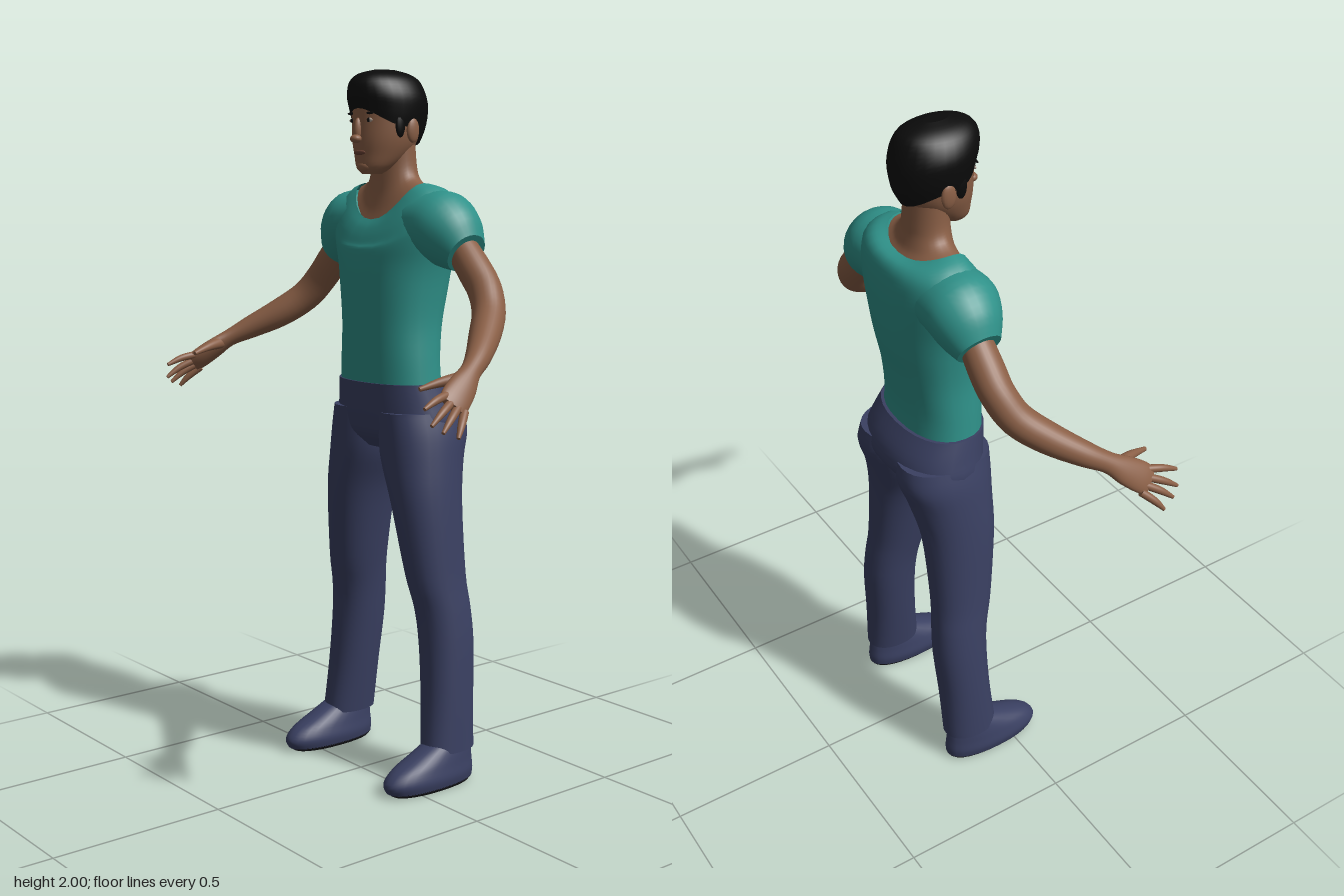
import * as THREE from 'three';

const SIDES = 28;
const mat = (name, color) => {
  const m = new THREE.MeshStandardMaterial({ color });
  m.name = name;
  return m;
};

// Catmull-Rom interpolation of every column of a table of cross-sections
function smooth(rows, steps = 4) {
  const out = [];
  const at = (i) => rows[Math.min(Math.max(i, 0), rows.length - 1)];
  for (let i = 0; i < rows.length - 1; i++) {
    for (let s = 0; s < steps; s++) {
      const t = s / steps;
      out.push(rows[i].map((p1, k) => {
        const p0 = at(i - 1)[k], p2 = at(i + 1)[k], p3 = at(i + 2)[k];
        return p1 + 0.5 * t * (p2 - p0 + t * (2 * p0 - 5 * p1 + 4 * p2 - p3 + t * (3 * (p1 - p2) + p3 - p0)));
      }));
    }
  }
  out.push(rows[rows.length - 1]);
  return out;
}

// Surface through rings of points, with optional flat caps
function loft(rings, capStart = true, capEnd = true) {
  const n = rings[0].length, pts = rings.flat(), idx = [];
  for (let i = 0; i < rings.length - 1; i++) {
    for (let j = 0; j < n; j++) {
      const a = i * n + j, b = i * n + (j + 1) % n;
      idx.push(a, a + n, b, b, a + n, b + n);
    }
  }
  const cap = (ring, flip) => {
    const base = pts.length;
    const mid = ring.reduce((s, p) => s.add(p), new THREE.Vector3()).divideScalar(n);
    pts.push(...ring, mid);
    for (let j = 0; j < n; j++) {
      const a = base + j, b = base + (j + 1) % n;
      idx.push(...(flip ? [a, b, base + n] : [b, a, base + n]));
    }
  };
  if (capStart) cap(rings[0], true);
  if (capEnd) cap(rings[rings.length - 1], false);
  const g = new THREE.BufferGeometry().setFromPoints(pts);
  g.setIndex(idx);
  g.computeVertexNormals();
  return g;
}

const ringOf = (f) => Array.from({ length: SIDES }, (_, j) => {
  const a = (j / SIDES) * Math.PI * 2;
  return f(Math.cos(a), Math.sin(a));
});

// Level rings: [y, xMin, xMax, zBack, zFront, frontDip, backDip]
function column(rows, power = 1, ...caps) {
  const bend = (v) => Math.sign(v) * Math.abs(v) ** power;
  const full = rows.map((r) => [...r, 0, 0].slice(0, 7));
  return loft(smooth(full).map(([y, x0, x1, zb, zf, df, db]) => ringOf((c, s) => new THREE.Vector3(
    (x0 + x1) / 2 + bend(c) * (x1 - x0) / 2,
    y - s * s * (s > 0 ? df : db),
    (zb + zf) / 2 + bend(s) * (zf - zb) / 2))), ...caps);
}
const centred = (rows) => rows.map(([y, rx, ...rest]) => [y, -rx, rx, ...rest]);

// Tube along [x, y, z, halfWidth, halfThickness]; the width follows the palm
const PALM = new THREE.Vector3(0.43, -0.68, -0.6).normalize();
function limb(rows) {
  const s = smooth(rows);
  const P = s.map((r) => new THREE.Vector3(r[0], r[1], r[2]));
  return loft(s.map((r, i) => {
    const t = P[Math.min(i + 1, P.length - 1)].clone().sub(P[Math.max(i - 1, 0)]).normalize();
    const u = PALM.clone().addScaledVector(t, -PALM.dot(t)).normalize();
    const v = u.clone().cross(t);
    return ringOf((c, d) => P[i].clone().addScaledVector(u, c * r[3]).addScaledVector(v, d * r[4]));
  }));
}

function ball(x, y, z, rx, ry, rz) {
  return new THREE.SphereGeometry(1, 16, 12).scale(rx, ry, rz).translate(x, y, z);
}

function mirrored(geo) {
  const g = geo.clone().scale(-1, 1, 1);
  g.setIndex(Array.from(g.index.array).reverse());
  return g;
}

export function createModel() {
  const model = new THREE.Group();
  model.name = 'standingMan';
  const skin = mat('skin', 0x8a5f46), teal = mat('tealShirt', 0x2f9189), denim = mat('navyCloth', 0x3a4062);
  const black = mat('blackHair', 0x0b0b0b), sole = mat('darkSole', 0x1f1f22), lip = mat('lips', 0x6b4234);
  const white = mat('eyeWhite', 0xb8a99c);
  teal.side = THREE.DoubleSide;

  const add = (name, geo, m) => {
    const mesh = new THREE.Mesh(geo, m);
    mesh.name = name;
    model.add(mesh);
  };
  const pair = (name, geo, m) => {
    add(name + 'Left', geo, m);
    add(name + 'Right', mirrored(geo), m);
  };

  // Shirt body, open at the scooped neckline
  add('shirt', column(centred([
    [1.12, 0.172, -0.218, 0], [1.2, 0.166, -0.215, 0.002], [1.3, 0.16, -0.228, 0.006],
    [1.4, 0.168, -0.248, 0.012], [1.47, 0.18, -0.257, 0.013], [1.54, 0.2, -0.26, 0.01, 0.03, 0],
    [1.6, 0.212, -0.258, 0.002, 0.075, 0], [1.65, 0.2, -0.25, -0.008, 0.1, 0.01],
    [1.68, 0.165, -0.232, -0.02, 0.107, 0.02], [1.692, 0.128, -0.2, -0.035, 0.1, 0.03],
  ]), 0.88, true, false), teal);

  // Sleeves: [x, y, z, upX, upY, halfDepth]
  const sleeve = smooth([
    [0.11, 1.58, -0.135, 0.02, 0.09, 0.1], [0.19, 1.575, -0.135, 0.03, 0.092, 0.103],
    [0.24, 1.54, -0.137, 0.045, 0.075, 0.088], [0.28, 1.505, -0.14, 0.03, 0.05, 0.062],
  ]).map(([x, y, z, ux, uy, d]) => ringOf((c, s) => new THREE.Vector3(x + ux * c, y + uy * c, z - d * s)));
  pair('sleeve', loft(sleeve), teal);

  // Trousers
  add('trouserSeat', column(centred([
    [1.14, 0.179, -0.226, 0.006], [1.08, 0.194, -0.262, 0.003], [1.03, 0.204, -0.272, -0.003],
    [0.99, 0.19, -0.25, -0.015], [0.95, 0.12, -0.2, -0.05],
  ]).reverse(), 0.9), denim);
  pair('trouserLeg', column([
    [0.1, 0.168, 0.287, -0.217, -0.05], [0.25, 0.148, 0.281, -0.221, -0.065],
    [0.4, 0.13, 0.272, -0.23, -0.07], [0.5, 0.118, 0.262, -0.227, -0.062],
    [0.6, 0.1, 0.25, -0.22, -0.04], [0.8, 0.058, 0.235, -0.225, -0.015],
    [0.92, 0.012, 0.223, -0.248, -0.008], [1.0, 0, 0.212, -0.274, -0.005],
    [1.06, 0, 0.196, -0.268, -0.004],
  ], 0.92), denim);

  // Shoes
  const shoe = (rows) => column(rows.map(([y, r, ...z]) => [y, 0.232 - r, 0.232 + r, ...z]), 0.9);
  pair('shoe', shoe([
    [0.01, 0.058, -0.213, 0.086], [0.035, 0.063, -0.215, 0.095], [0.065, 0.058, -0.212, 0.068],
    [0.095, 0.052, -0.208, 0.005], [0.125, 0.045, -0.2, -0.06],
  ]), denim);
  pair('shoeSole', shoe([[0, 0.05, -0.205, 0.07], [0.012, 0.059, -0.214, 0.087]]), sole);

  // Arms run through the wrist into a flat palm
  pair('arm', limb([
    [0.25, 1.53, -0.14, 0.043, 0.043], [0.31, 1.465, -0.14, 0.047, 0.047], [0.36, 1.41, -0.135, 0.046, 0.047],
    [0.405, 1.353, -0.108, 0.045, 0.045], [0.455, 1.302, -0.048, 0.042, 0.043], [0.51, 1.257, 0.025, 0.034, 0.033],
    [0.542, 1.226, 0.08, 0.028, 0.023], [0.562, 1.196, 0.122, 0.038, 0.02], [0.579, 1.167, 0.163, 0.042, 0.016],
    [0.588, 1.152, 0.184, 0.037, 0.011],
  ]), skin);
  const fingers = {
    index: [[0.571, 1.179, 0.185], [0.582, 1.17, 0.23], [0.588, 1.153, 0.272]],
    middle: [[0.58, 1.164, 0.174], [0.598, 1.142, 0.222], [0.606, 1.113, 0.264]],
    ring: [[0.59, 1.15, 0.163], [0.61, 1.125, 0.205], [0.621, 1.095, 0.24]],
    little: [[0.598, 1.136, 0.15], [0.62, 1.108, 0.18], [0.634, 1.08, 0.202]],
    thumb: [[0.553, 1.213, 0.1], [0.53, 1.206, 0.16], [0.513, 1.19, 0.224]],
  };
  for (const [name, path] of Object.entries(fingers)) {
    const radii = name === 'thumb' ? [0.02, 0.013, 0.006] : [0.011, 0.01, 0.005];
    pair(name + 'Finger', limb(path.map((p, i) => [...p, radii[i], radii[i]])), skin);
  }

  // Neck and the skin inside the neckline
  add('neck', column(centred([
    [1.687, 0.128, -0.2, -0.036, 0.1, 0.03], [1.695, 0.105, -0.188, -0.048, 0.075, 0.02],
    [1.71, 0.084, -0.178, -0.058, 0.04, 0], [1.74, 0.073, -0.175, -0.062], [1.8, 0.07, -0.17, -0.06],
  ]), 1, false, true), skin);

  // Head
  add('head', column(centred([
    [1.717, 0.028, -0.065, -0.012], [1.735, 0.05, -0.1, 0.002], [1.77, 0.07, -0.15, 0.006],
    [1.81, 0.084, -0.18, 0.01], [1.86, 0.09, -0.19, 0.01], [1.92, 0.09, -0.195, 0.01],
    [1.96, 0.07, -0.17, -0.01], [1.98, 0.04, -0.14, -0.05],
  ])), skin);
  add('hair', column(centred([
    [1.845, 0.093, -0.188, 0.012, -0.05, 0.05], [1.88, 0.1, -0.208, 0.018, -0.03, 0.04],
    [1.925, 0.101, -0.213, 0.026, -0.008, 0.02], [1.965, 0.083, -0.195, 0.024],
    [1.988, 0.055, -0.165, 0], [2.0, 0.018, -0.12, -0.05],
  ])), black);
  pair('sideburn', ball(0.087, 1.85, -0.068, 0.008, 0.035, 0.016), black);
  pair('ear', ball(0.093, 1.835, -0.108, 0.01, 0.034, 0.021), skin);

  // Face
  add('noseBridge', ball(0, 1.835, 0.01, 0.011, 0.034, 0.014), skin);
  add('noseTip', ball(0, 1.812, 0.018, 0.017, 0.012, 0.016), skin);
  add('chin', ball(0, 1.738, -0.012, 0.028, 0.017, 0.018), skin);
  add('mouth', ball(0, 1.775, 0.005, 0.025, 0.007, 0.005), lip);
  pair('eye', ball(0.036, 1.862, 0.0, 0.014, 0.006, 0.004), white);
  pair('iris', ball(0.036, 1.862, 0.002, 0.007, 0.006, 0.004), black);
  pair('eyebrow', ball(0.038, 1.881, 0.001, 0.02, 0.004, 0.004).rotateY(0), black);

  return model;
}
